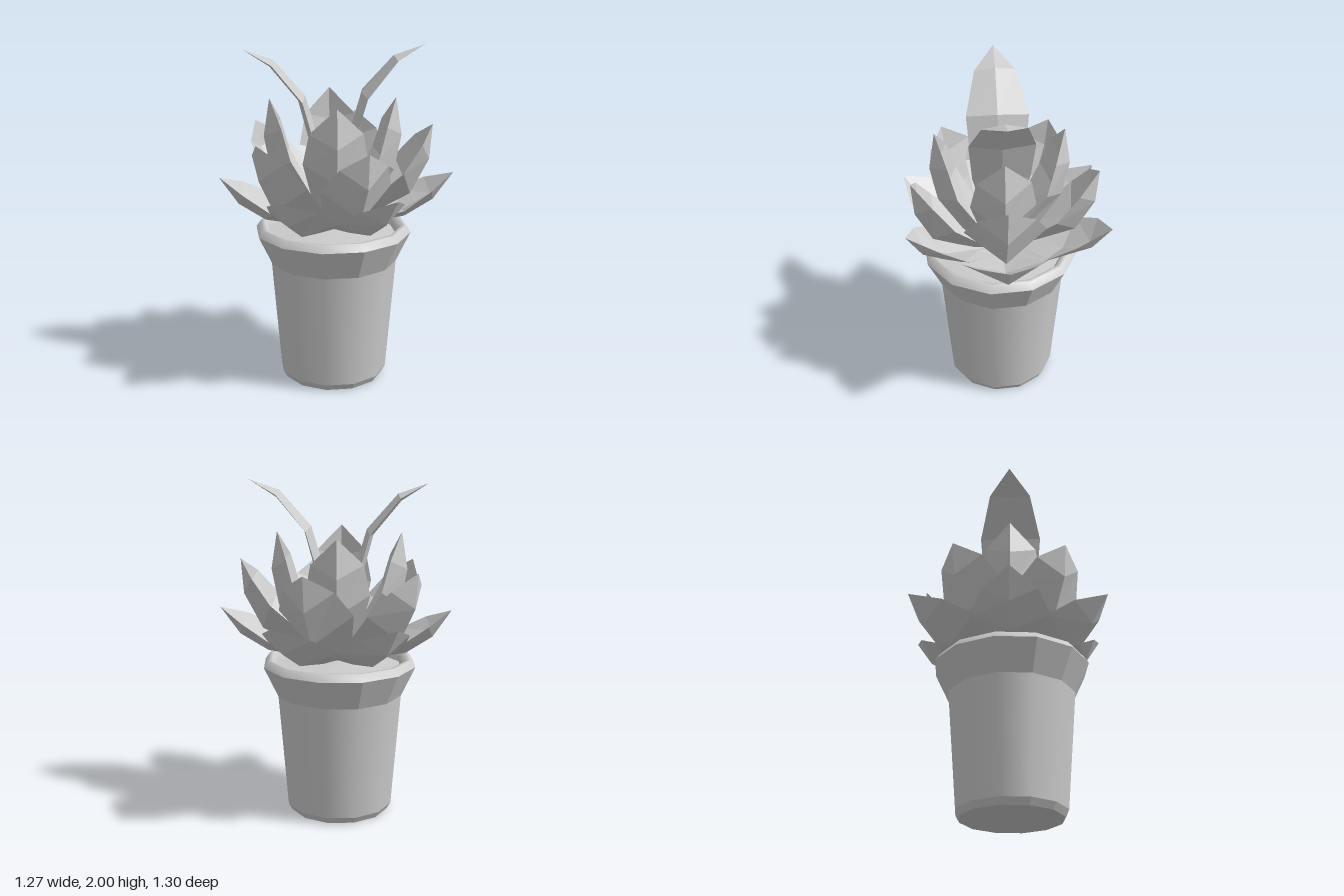
import * as THREE from 'three';

const grey = (flat) => new THREE.MeshStandardMaterial({ color: 0xcccccc, flatShading: flat });
const flatMat = grey(true);
const smoothMat = grey(false);

// Revolved 12-sided band; profile is [radius, y] from bottom to top
function band(name, profile, material) {
  const points = profile.map(([r, y]) => new THREE.Vector2(r, y));
  const turn = THREE.MathUtils.degToRad(4);
  const mesh = new THREE.Mesh(new THREE.LatheGeometry(points, 12, turn), material);
  mesh.name = name;
  return mesh;
}

// Leaf growing along +x: four-point sections between a root and a tip.
// Section: [edge radius, edge y, half width, rib radius, rib y]
// hollow: how far the inner face follows the rib (negative bulges inward)
function leafGeometry({ sections, tip, hollow }) {
  const root = [0.02, 0.94, 0];
  const rings = [
    Array(4).fill(root),
    ...sections.map(([er, ey, w, rr, ry]) => [
      [rr, ry, 0],
      [er, ey, -w],
      [er + (rr - er) * hollow, ey + (ry - ey) * hollow, 0],
      [er, ey, w],
    ]),
    Array(4).fill([...tip, 0]),
  ];
  const pos = [];
  for (let i = 0; i < rings.length - 1; i++) {
    for (let j = 0; j < 4; j++) {
      const n = (j + 1) % 4;
      const [a, b, c, d] = [rings[i][j], rings[i][n], rings[i + 1][n], rings[i + 1][j]];
      if (i > 0) pos.push(...a, ...b, ...c);
      if (i < rings.length - 2) pos.push(...a, ...c, ...d);
    }
  }
  const geo = new THREE.BufferGeometry();
  geo.setAttribute('position', new THREE.Float32BufferAttribute(pos, 3));
  geo.computeVertexNormals();
  return geo;
}

// Whorls of leaves, from the spreading outer one to the tall inner pair
const whorls = [
  {
    name: 'outerLeaf', count: 6, start: 15, growR: 0.024, growY: 0.003, tip: [0.635, 1.23], hollow: 0.6,
    sections: [[0.14, 0.98, 0.13, 0.16, 0.93], [0.35, 1.07, 0.22, 0.38, 0.97], [0.5, 1.16, 0.15, 0.53, 1.07]],
  },
  {
    name: 'middleLeaf', count: 5, start: 27, growR: 0.022, growY: 0.01, tip: [0.535, 1.48], hollow: 0.6,
    sections: [[0.13, 1.02, 0.12, 0.18, 0.95], [0.355, 1.25, 0.21, 0.42, 1.08], [0.46, 1.39, 0.145, 0.52, 1.28]],
  },
  {
    name: 'innerLeaf', count: 4, start: 45, growR: 0, growY: 0, tip: [0.365, 1.7], hollow: 0.6,
    sections: [[0.1, 1.1, 0.12, 0.2, 1.02], [0.25, 1.37, 0.185, 0.36, 1.27], [0.3, 1.55, 0.15, 0.4, 1.48]],
  },
  {
    name: 'tallLeaf', count: 2, start: 135, growR: 0.02, growY: 0.01, tip: [0.515, 1.98], hollow: -1,
    sections: [[0.05, 1.15, 0.09, 0.08, 1.13], [0.11, 1.45, 0.16, 0.135, 1.44], [0.18, 1.7, 0.18, 0.2, 1.685], [0.35, 1.9, 0.12, 0.36, 1.88]],
  },
];

export function createModel() {
  const model = new THREE.Group();
  model.name = 'pottedSucculent';
  model.position.set(0.02, 0, 0.02);

  // Pot
  const pot = new THREE.Group();
  pot.name = 'pot';
  pot.add(
    band('potBase', [[0, 0], [0.3, 0], [0.323, 0.04]], flatMat),
    band('potBody', [[0.323, 0.04], [0.378, 0.73]], smoothMat),
    band('potCollar', [[0.378, 0.73], [0.463, 0.91]], flatMat),
    band('potLip', [[0.463, 0.91], [0.435, 0.95], [0.41, 0.95], [0.385, 0.92], [0.375, 0.87]], smoothMat),
    band('soil', [[0.385, 0.89], [0, 0.92]], flatMat),
  );
  model.add(pot);

  // Leaves
  for (const whorlSpec of whorls) {
    const { name, count, start, growR, growY } = whorlSpec;
    const whorl = new THREE.Group();
    whorl.name = name + 'Whorl';
    const geo = leafGeometry(whorlSpec);
    for (let i = 0; i < count; i++) {
      const leaf = new THREE.Mesh(geo, flatMat);
      leaf.name = name;
      leaf.rotation.y = -THREE.MathUtils.degToRad(start + (360 / count) * i);
      leaf.scale.set(1 + growR * i, 1 + growY * i, 1 + growR * i);
      whorl.add(leaf);
    }
    model.add(whorl);
  }
  return model;
}
